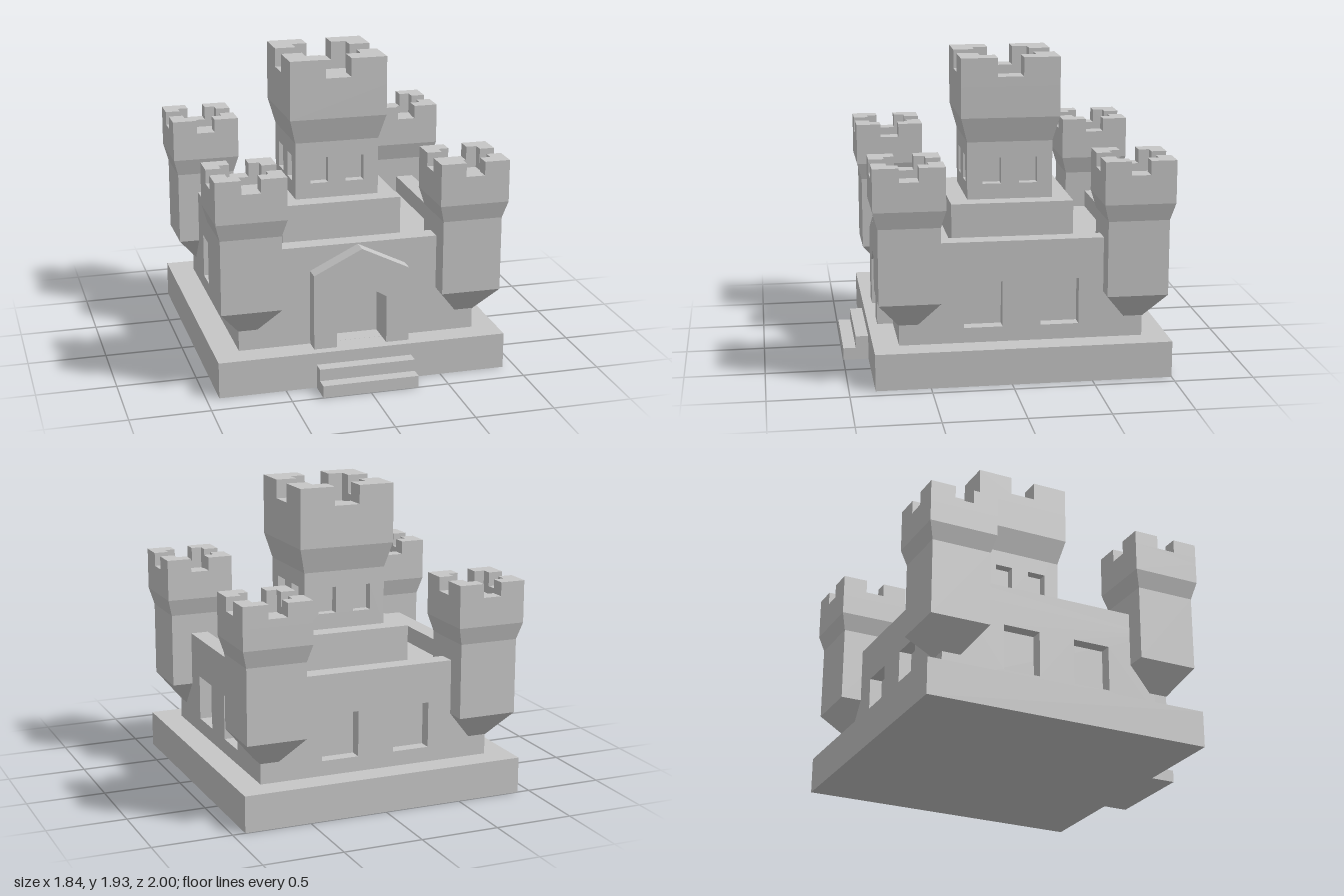
import * as THREE from 'three';

const stone = new THREE.MeshStandardMaterial({ color: 0xc6c6c6 });
stone.name = 'stone';

const CZ = -0.08; // depth centre of the keep and walls

function add(parent, name, geometry, x = 0, y = 0, z = 0, turn = 0) {
  const mesh = new THREE.Mesh(geometry, stone);
  mesh.name = name;
  mesh.position.set(x, y, z);
  mesh.rotation.y = turn;
  parent.add(mesh);
  return mesh;
}

// Box given by its width, depth and bottom/top heights
function block(parent, name, w, d, y0, y1, x = 0, z = 0) {
  return add(parent, name, new THREE.BoxGeometry(w, y1 - y0, d), x, (y0 + y1) / 2, z);
}

// Square frustum with flat sides
function taper(parent, name, half0, half1, y0, y1) {
  const g = new THREE.CylinderGeometry(half1 * Math.SQRT2, half0 * Math.SQRT2, y1 - y0, 4);
  g.rotateY(Math.PI / 4);
  const flat = g.toNonIndexed();
  flat.computeVertexNormals();
  return add(parent, name, flat, 0, (y0 + y1) / 2, 0);
}

const points = (list) => list.map(([x, y]) => new THREE.Vector2(x, y));
const rect = (x0, y0, x1, y1) => points([[x0, y0], [x1, y0], [x1, y1], [x0, y1]]);
const gable = (half, y0, eaves, apex) =>
  points([[-half, y0], [half, y0], [half, eaves], [0, apex], [-half, eaves]]);

function slab(outline, holes, depth) {
  const shape = new THREE.Shape(outline);
  holes.forEach((h) => shape.holes.push(new THREE.Path(h)));
  return new THREE.ExtrudeGeometry(shape, { depth, bevelEnabled: false });
}

// Slab lying flat, rising from y = 0 to the given height
function flatSlab(outline, holes, height) {
  return slab(outline, holes, height).rotateX(-Math.PI / 2);
}

// Two mirrored window openings
const windowPair = (inner, outer, y0, y1) =>
  [rect(inner, y0, outer, y1), rect(-outer, y0, -inner, y1)];

// Hollow crown with a notch in the middle of each side
function crown(parent, c) {
  const { half: h, pit: p, notch: n, base, floor, sill, top } = c;
  block(parent, 'crownBase', h * 2, h * 2, base, floor);
  add(parent, 'crownRim', flatSlab(rect(-h, -h, h, h), [rect(-p, -p, p, p)], sill - floor), 0, floor, 0);
  const corner = points([[h, n], [h, h], [n, h], [n, p], [p, p], [p, n]]);
  for (let i = 0; i < 4; i++) {
    add(parent, 'merlon', flatSlab(corner, [], top - sill), 0, sill, 0, i * Math.PI / 2);
  }
}

function cornerTower(x, z) {
  const g = new THREE.Group();
  g.name = 'cornerTower';
  taper(g, 'corbel', 0.06, 0.19, 0.36, 0.525);
  block(g, 'towerShaft', 0.38, 0.38, 0.525, 1.0);
  taper(g, 'towerFlare', 0.19, 0.22, 1.0, 1.11);
  crown(g, { half: 0.22, pit: 0.126, notch: 0.06, base: 1.11, floor: 1.24, sill: 1.29, top: 1.377 });
  g.position.set(x, 0, z);
  return g;
}

function keep() {
  const g = new THREE.Group();
  g.name = 'keep';
  block(g, 'keepPlinth', 0.78, 0.78, 0.7, 1.02);
  const half = 0.273, deep = 0.06;
  block(g, 'keepCore', (half - deep) * 2, (half - deep) * 2, 1.02, 1.39);
  // Four pierced faces around the core
  for (let i = 0; i < 4; i++) {
    const w = i % 2 ? half - deep : half;
    const a = i * Math.PI / 2;
    const r = half - deep;
    add(g, 'keepFace', slab(rect(-w, 1.02, w, 1.39), windowPair(0.058, 0.176, 1.12, 1.287), deep),
      Math.sin(a) * r, 0, Math.cos(a) * r, a);
  }
  taper(g, 'keepFlare', half, 0.315, 1.39, 1.55);
  crown(g, { half: 0.315, pit: 0.18, notch: 0.083, base: 1.55, floor: 1.75, sill: 1.81, top: 1.93 });
  g.position.z = CZ;
  return g;
}

function walls() {
  const g = new THREE.Group();
  g.name = 'walls';
  const W = 0.76, y0 = 0.23, y1 = 0.76, top = 0.87, t = 0.115, d = 0.08;
  // Inner mass up to the courtyard floor
  block(g, 'courtyard', (W - d) * 2, 2 * W - t - d, y0, y1, 0, (d - t) / 2);
  // Parapet ring
  const i = W - t;
  add(g, 'parapet', flatSlab(rect(-W, -W, W, W), [rect(-i, -i, i, i)], top - y1), 0, y1, 0);
  // Back and side walls with windows
  const openings = windowPair(0.118, 0.358, 0.325, 0.615);
  add(g, 'backWall', slab(rect(-W, y0, W, y1), openings, d), 0, 0, -(W - d), Math.PI);
  for (const s of [-1, 1]) {
    add(g, 'sideWall', slab(rect(-(W - d), y0, W - d, y1), openings, d), s * (W - d), 0, 0, s * Math.PI / 2);
  }
  // Front wall and gabled porch share the doorway
  const door = gable(0.16, y0 + 0.0005, 0.535, 0.632);
  add(g, 'frontWall', slab(rect(-W, y0, W, y1), [door], t), 0, 0, W - t);
  const arch = points([[-0.305, y0], [-0.16, y0], [-0.16, 0.535], [0, 0.632], [0.16, 0.535],
    [0.16, y0], [0.305, y0], [0.305, 0.712], [0, 0.862], [-0.305, 0.712]]);
  add(g, 'porch', slab(arch, [], 0.1), 0, 0, W);
  g.position.z = CZ;
  return g;
}

export function createModel() {
  const model = new THREE.Group();
  model.name = 'castle';
  block(model, 'base', 1.84, 1.84, 0, 0.23, 0, CZ);
  block(model, 'upperStep', 0.61, 0.08, 0, 0.153, 0, 0.88);
  block(model, 'lowerStep', 0.61, 0.08, 0, 0.077, 0, 0.96);
  model.add(walls(), keep());
  for (const sx of [-1, 1]) {
    for (const sz of [-1, 1]) model.add(cornerTower(sx * 0.702, CZ + sz * 0.702));
  }
  return model;
}
